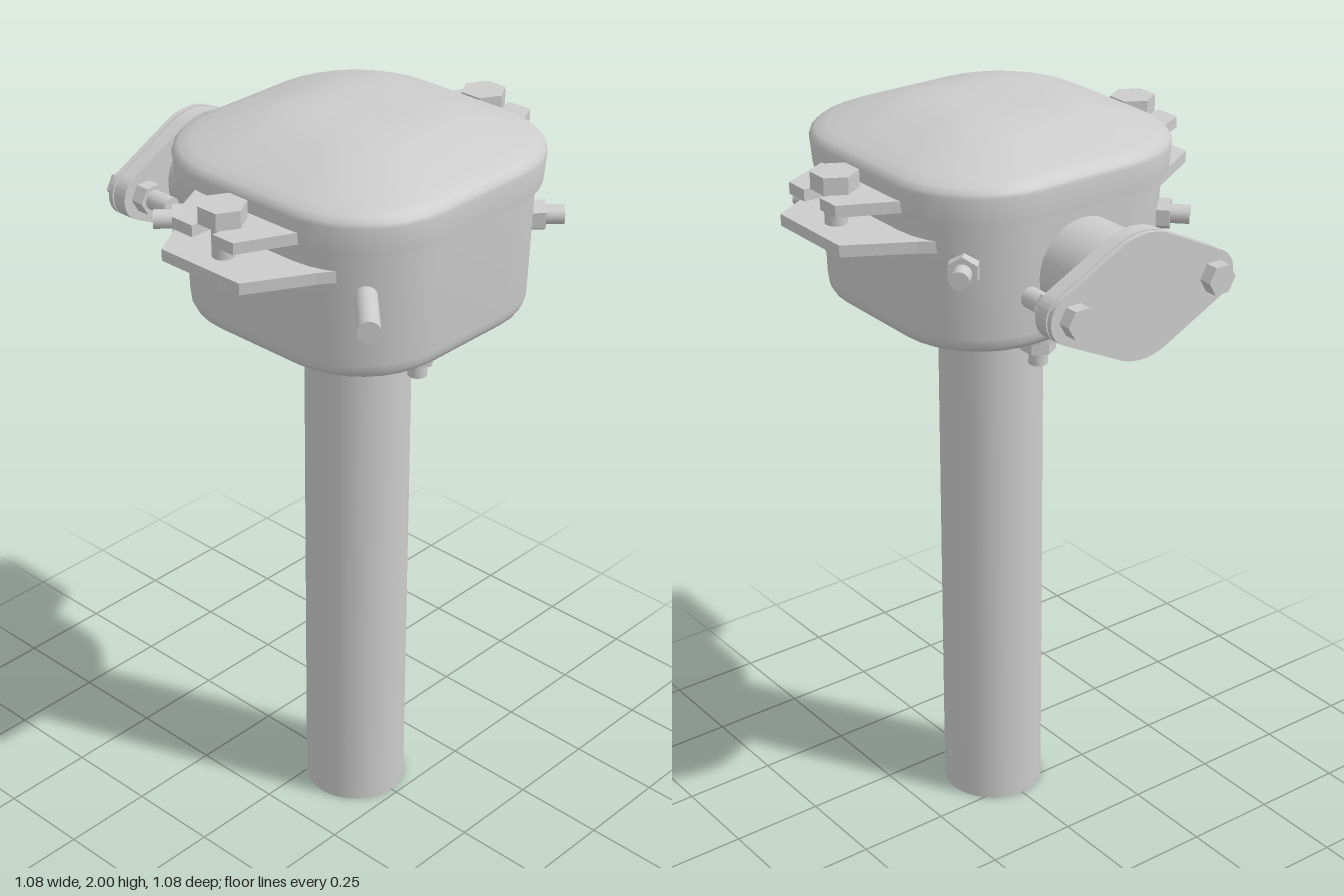
import * as THREE from 'three';
import { toCreasedNormals } from 'three/addons/utils/BufferGeometryUtils.js';

const grey = new THREE.MeshStandardMaterial({ color: 0xcccccc });
const greyOpen = new THREE.MeshStandardMaterial({ color: 0xcccccc, side: THREE.DoubleSide });

function add(parent, name, geometry, x = 0, y = 0, z = 0, material = grey) {
  const mesh = new THREE.Mesh(geometry, material);
  mesh.name = name;
  mesh.position.set(x, y, z);
  parent.add(mesh);
  return mesh;
}

// Cylinder standing on the range y0..y1
function rod(r, y0, y1, sides = 20, open = false) {
  const g = new THREE.CylinderGeometry(r, r, y1 - y0, sides, 1, open).translate(0, (y0 + y1) / 2, 0);
  return sides === 6 ? toCreasedNormals(g, 0.3) : g;
}

// Closed loft through rounded squares, each given as [half width, y]
function roundedLoft(rings, cornerRatio = 0.64, steps = 8) {
  const pos = [], index = [], n = 4 * (steps + 1);
  for (const [h, y] of rings) {
    const r = h * cornerRatio, c = h - r;
    for (let q = 0; q < 4; q++) {
      const sx = q === 0 || q === 3 ? c : -c, sz = q < 2 ? c : -c;
      for (let i = 0; i <= steps; i++) {
        const a = (q + i / steps) * Math.PI / 2;
        pos.push(sx + r * Math.cos(a), y, sz + r * Math.sin(a));
      }
    }
  }
  for (let k = 0; k < rings.length - 1; k++) {
    for (let i = 0; i < n; i++) {
      const j = (i + 1) % n, a = k * n + i, b = k * n + j;
      index.push(a, a + n, b, b, a + n, b + n);
    }
  }
  // flat caps
  const last = rings.length - 1, centre = pos.length / 3;
  pos.push(0, rings[0][1], 0, 0, rings[last][1], 0);
  for (let i = 0; i < n; i++) {
    const j = (i + 1) % n;
    index.push(centre, i, j, centre + 1, last * n + j, last * n + i);
  }
  const g = new THREE.BufferGeometry();
  g.setAttribute('position', new THREE.Float32BufferAttribute(pos, 3));
  g.setIndex(index);
  return toCreasedNormals(g, 0.7);
}

// Flange plate: a big disc blended into two small ends, lying along x, thickness along z
function ovalPlate(R, r, d, thickness) {
  const a = Math.acos((R - r) / d), P = Math.PI;
  const s = new THREE.Shape();
  s.absarc(0, 0, R, a, P - a);
  s.absarc(-d, 0, r, P - a, P + a);
  s.absarc(0, 0, R, P + a, 2 * P - a);
  s.absarc(d, 0, r, -a, a);
  const g = new THREE.ExtrudeGeometry(s, { depth: thickness, bevelEnabled: false, curveSegments: 14 });
  return toCreasedNormals(g, 0.6);
}

// Flat lug from outline points in x and z, with its top at y
function lugPlate(points, thickness) {
  const s = new THREE.Shape(points.map(([x, z]) => new THREE.Vector2(x, z)));
  return new THREE.ExtrudeGeometry(s, { depth: thickness, bevelEnabled: false }).rotateX(Math.PI / 2);
}

export function createModel() {
  const model = new THREE.Group();
  model.name = 'junctionBoxOnPost';
  const box = new THREE.Group();
  box.name = 'box';
  box.position.z = 0.094;
  model.add(box);

  // Post and its flange
  add(box, 'post', rod(0.136, 0, 1.45, 32, true), 0, 0, 0, greyOpen);
  add(box, 'postFlange', ovalPlate(0.156, 0.07, 0.2, 0.057).rotateX(Math.PI / 2).rotateY(Math.PI / 2), 0, 1.487, 0);
  for (const side of [-1, 1]) {
    add(box, 'postFlangeNut', rod(0.045, 1.39, 1.432, 6), 0, 0, side * 0.2);
    add(box, 'postFlangeStud', rod(0.025, 1.352, 1.44), 0, 0, side * 0.2);
  }

  // Housing and domed lid
  add(box, 'housing', roundedLoft([
    [0.325, 1.485], [0.342, 1.488], [0.355, 1.498], [0.362, 1.513], [0.364, 1.53], [0.373, 1.84],
  ]));
  add(box, 'lid', roundedLoft([
    [0.388, 1.828], [0.394, 1.9], [0.391, 1.911], [0.38, 1.922], [0.355, 1.934], [0.31, 1.951],
    [0.255, 1.97], [0.205, 1.985], [0.16, 1.994], [0.11, 1.999], [0.05, 2.0],
  ]));

  // Clamping lugs and bolts on both sides
  const lowerLug = [[0.3, -0.275], [0.377, -0.22], [0.538, -0.128], [0.538, 0.128], [0.377, 0.22], [0.3, 0.275]];
  const upperLug = [[0.3, -0.21], [0.527, -0.1], [0.527, -0.034], [0.42, -0.034],
    [0.42, 0.034], [0.527, 0.034], [0.527, 0.1], [0.3, 0.21]];
  for (let i = 0; i < 2; i++) {
    const clamp = new THREE.Group();
    clamp.name = i ? 'rightClamp' : 'leftClamp';
    clamp.rotation.y = i * Math.PI;
    box.add(clamp);
    add(clamp, 'housingLug', lugPlate(lowerLug, 0.03), 0, 1.778, 0);
    add(clamp, 'lidLug', lugPlate(upperLug, 0.03), 0, 1.866, 0);
    add(clamp, 'clampBoltHead', rod(0.059, 1.866, 1.91, 6), 0.461, 0, 0);
    add(clamp, 'clampBoltShank', rod(0.028, 1.705, 1.88), 0.461, 0, 0);
  }

  // Studs on three corners and a longer rod on the front right corner
  for (let i = 0; i < 4; i++) {
    const corner = new THREE.Group();
    const long = i === 3;
    corner.name = long ? 'cornerRod' : 'cornerStud';
    corner.position.y = 1.716;
    corner.rotation.y = Math.PI / 4 + i * Math.PI / 2;
    box.add(corner);
    const out = (g) => g.rotateX(Math.PI / 2);
    if (long) {
      add(corner, 'rod', out(rod(0.028, 0.36, 0.597)));
    } else {
      add(corner, 'stud', out(rod(0.024, 0.36, 0.503)));
      add(corner, 'studNut', out(rod(0.041, 0.4, 0.455, 6)));
    }
  }

  // Back port with bolted cover
  const port = new THREE.Group();
  port.name = 'backPort';
  port.position.y = 1.67;
  model.add(port);
  const along = (g) => g.rotateX(-Math.PI / 2); // cylinder axis points to -z
  add(port, 'portNeck', along(rod(0.128, 0.2, 0.46, 32)));
  add(port, 'portFlange', ovalPlate(0.16, 0.065, 0.214, 0.04), 0, 0, -0.492);
  add(port, 'portGasket', ovalPlate(0.154, 0.06, 0.213, 0.008), 0, 0, -0.498);
  add(port, 'portCover', ovalPlate(0.16, 0.065, 0.214, 0.014), 0, 0, -0.511);
  for (const side of [-1, 1]) {
    const bolt = new THREE.Group();
    bolt.name = 'portBolt';
    bolt.position.x = side * 0.214;
    port.add(bolt);
    const hex = (y0, y1) => along(rod(0.041, y0, y1, 6).rotateY(Math.PI / 2));
    add(bolt, 'boltHead', hex(0.511, 0.546));
    add(bolt, 'boltNut', hex(0.415, 0.452));
    add(bolt, 'boltShank', along(rod(0.026, 0.348, 0.52)));
  }
  return model;
}
